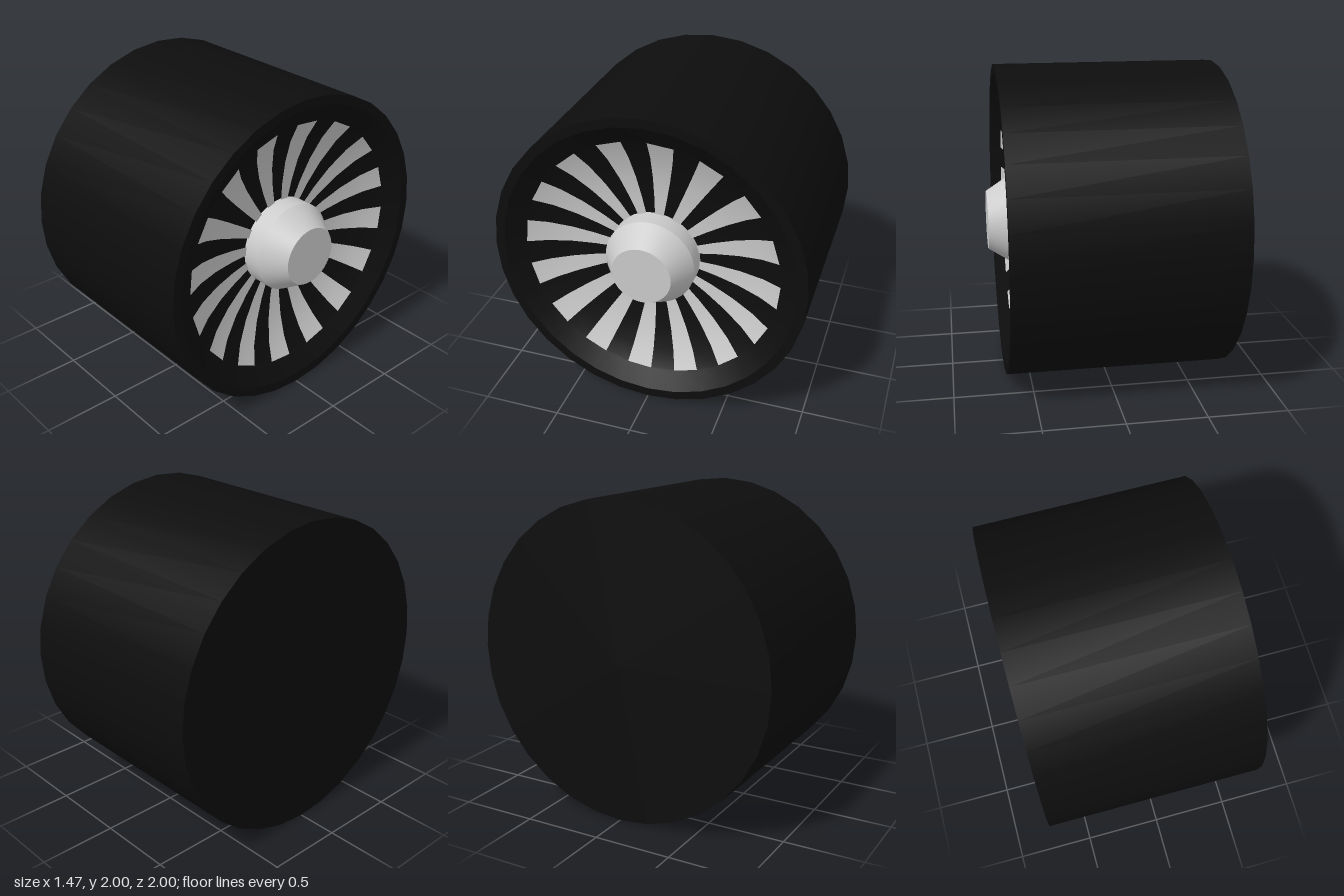
import * as THREE from 'three';
import { toCreasedNormals } from 'three/addons/utils/BufferGeometryUtils.js';

const SIDES = 32;
const STEP = (Math.PI * 2) / SIDES;

// Bowl-shaped section shared by the dish and the blades: [radius, x]
const BOWL = [[0.82, 0.59], [0.7, 0.535], [0.55, 0.495], [0.4, 0.475], [0.2, 0.465]];

// Revolve [radius, x] points; the lathe axis becomes +x once the group is turned
function revolve(points, segments, start = 0, length = Math.PI * 2) {
  return new THREE.LatheGeometry(points.map(([r, x]) => new THREE.Vector2(r, x)), segments, start, length);
}

export function createModel() {
  const model = new THREE.Group();
  const wheel = new THREE.Group();
  wheel.name = 'wheel';
  wheel.rotation.z = -Math.PI / 2;
  wheel.position.y = 1;
  model.add(wheel);

  const black = new THREE.MeshStandardMaterial({ color: 0x0d0d0d });
  const grey = new THREE.MeshStandardMaterial({ color: 0xcccccc });
  const sheet = new THREE.MeshStandardMaterial({ color: 0xcccccc, side: THREE.DoubleSide });

  const add = (name, geometry, material, parent = wheel) => {
    const mesh = new THREE.Mesh(geometry, material);
    mesh.name = name;
    parent.add(mesh);
  };

  // Tyre: closed back, straight tread, bevelled lip and recessed dish
  const tyreProfile = [
    [0, -0.735], [1, -0.735], [1, 0.66], [0.94, 0.66], [0.83, 0.585],
    ...BOWL.map(([r, x]) => [r, x - 0.012]), [0, 0.453],
  ];
  add('tyre', toCreasedNormals(revolve(tyreProfile, SIDES), 0.5), black);

  // Sixteen wedge blades, each filling every other side of the dish
  const blades = new THREE.Group();
  blades.name = 'blades';
  wheel.add(blades);
  for (let i = 0; i < SIDES / 2; i++) {
    add('blade', revolve(BOWL, 1, (2 * i - 1) * STEP, STEP), sheet, blades);
  }

  // Hub: short drum with a tapered nose and flat cap
  const hubProfile = [[0.287, 0.44], [0.287, 0.58], [0.188, 0.735], [0, 0.735]];
  add('hub', toCreasedNormals(revolve(hubProfile, 48), 0.5), grey);

  return model;
}
